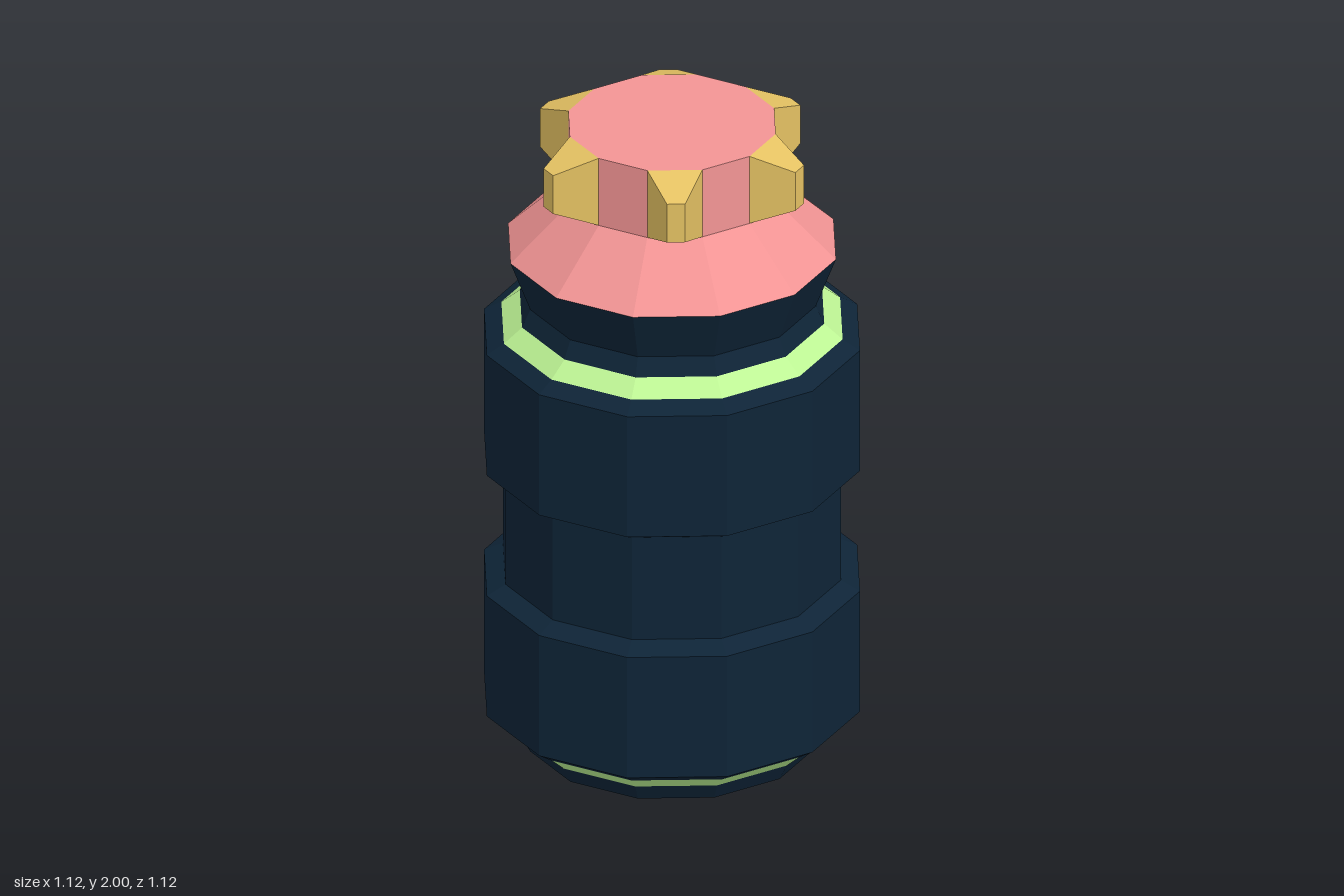
import * as THREE from 'three';

const SIDES = 12;
const paint = (color) => new THREE.MeshStandardMaterial({ color, flatShading: true });

export function createModel() {
  const model = new THREE.Group();
  const navy = paint(0x0e2437);
  const green = paint(0xbdf494);
  const pink = paint(0xf29494);
  const gold = paint(0xe5c263);

  // One twelve-sided section, from [radius, height] pairs listed bottom to top
  function addSection(name, material, profile) {
    const points = profile.map(([r, y]) => new THREE.Vector2(r, y));
    const mesh = new THREE.Mesh(new THREE.LatheGeometry(points, SIDES), material);
    mesh.name = name;
    model.add(mesh);
  }

  addSection('base', pink, [[0, 0], [0.43, 0]]);
  addSection('foot', navy, [[0.43, 0], [0.46, 0.055]]);
  addSection('lowerStripe', green, [[0.46, 0.055], [0.51, 0.1]]);
  addSection('body', navy, [
    [0.51, 0.1], [0.562, 0.135], [0.562, 0.53], [0.505, 0.56],
    [0.505, 0.895], [0.562, 0.925], [0.562, 1.32], [0.51, 1.35],
  ]);
  addSection('upperStripe', green, [[0.51, 1.35], [0.455, 1.395]]);
  addSection('neck', navy, [[0.455, 1.395], [0.43, 1.45], [0.49, 1.61]]);
  addSection('cap', pink, [[0.49, 1.61], [0.31, 1.78], [0.31, 2], [0, 2]]);

  // Tapered lug: a box whose outer end is narrowed, sitting on one cap facet
  const inner = 0.31 * Math.cos(Math.PI / SIDES);
  const outer = 0.422;
  const lugGeometry = new THREE.BoxGeometry(outer - inner, 0.22, 0.16);
  const pos = lugGeometry.attributes.position;
  for (let i = 0; i < pos.count; i++) {
    if (pos.getX(i) > 0) {
      pos.setY(i, pos.getY(i) * 0.57);
      pos.setZ(i, pos.getZ(i) * 0.33);
    }
  }
  lugGeometry.translate((inner + outer) / 2, 1.89, 0);
  lugGeometry.computeVertexNormals();

  // Six lugs on every other facet
  const lugs = new THREE.Group();
  lugs.name = 'capLugs';
  for (let i = 0; i < 6; i++) {
    const lug = new THREE.Mesh(lugGeometry, gold);
    lug.name = 'capLug';
    lug.rotation.y = Math.PI / 12 + (i * Math.PI) / 3;
    lugs.add(lug);
  }
  model.add(lugs);

  return model;
}
